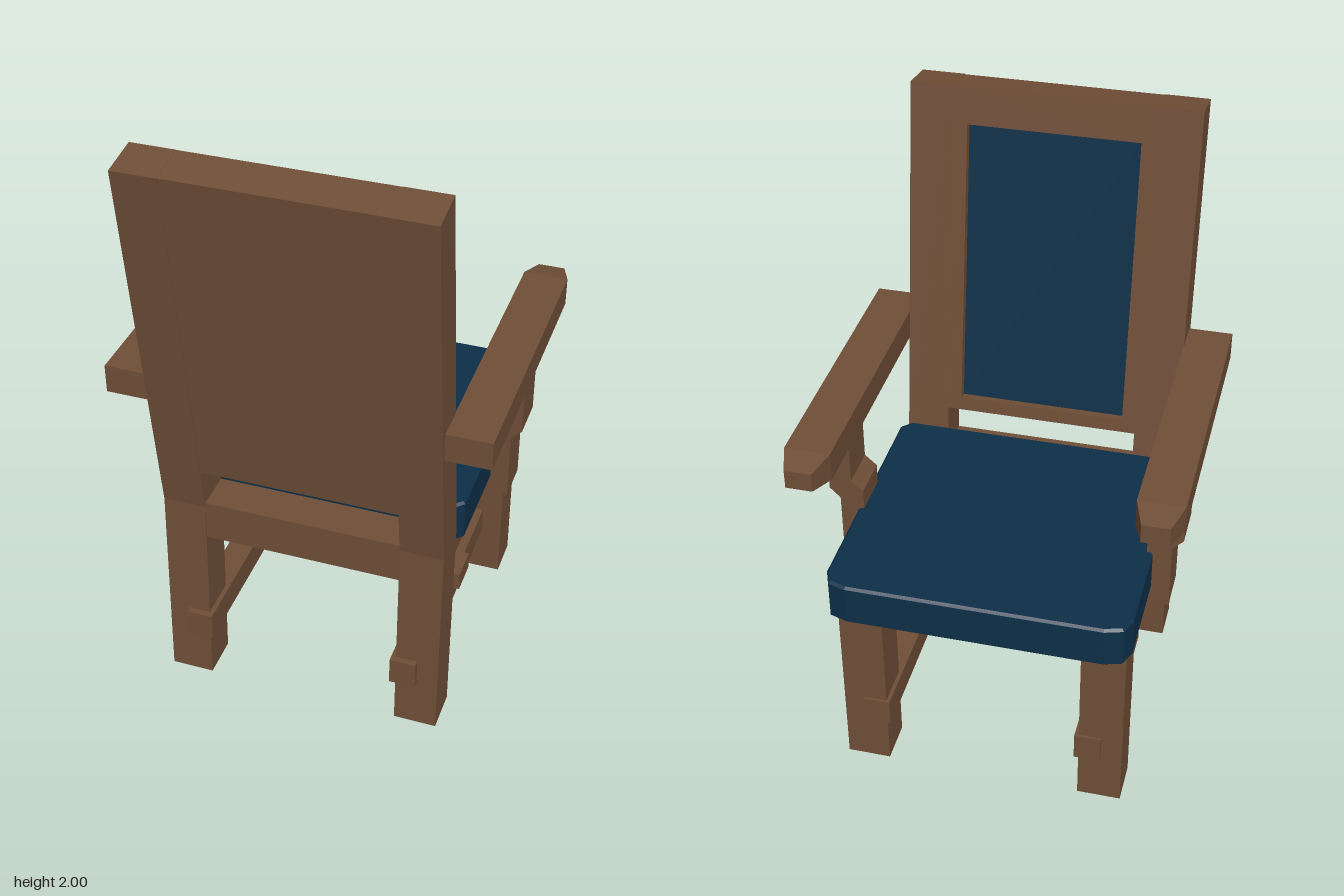
import * as THREE from 'three';

export function createModel() {
  const wood = new THREE.MeshStandardMaterial({ color: 0x6f4e37 });
  wood.name = 'brown wood';
  const fabric = new THREE.MeshStandardMaterial({ color: 0x0d2f48 });
  fabric.name = 'navy fabric';

  const chair = new THREE.Group();
  chair.name = 'armchair';

  const add = (name, geometry, material = wood, parent = chair) => {
    const mesh = new THREE.Mesh(geometry, material);
    mesh.name = name;
    parent.add(mesh);
    return mesh;
  };
  // Box given by its extents on each axis
  const box = (name, [x0, x1], [y0, y1], [z0, z1], material = wood, parent = chair) => {
    const mesh = add(name, new THREE.BoxGeometry(x1 - x0, y1 - y0, z1 - z0), material, parent);
    mesh.position.set((x0 + x1) / 2, (y0 + y1) / 2, (z0 + z1) / 2);
    return mesh;
  };
  const polygon = (points) => new THREE.Shape(points.map(([x, y]) => new THREE.Vector2(x, y)));
  const extrude = (shape, depth) => new THREE.ExtrudeGeometry(shape, { depth, bevelEnabled: false });
  const span = (side, a, b) => (side > 0 ? [a, b] : [-b, -a]);

  // Armrest: box whose forward end tapers on all four sides
  const armrestGeometry = () => {
    const geometry = new THREE.BoxGeometry(0.145, 0.095, 1, 1, 1, 2);
    const p = geometry.attributes.position;
    for (let i = 0; i < p.count; i++) {
      const z = p.getZ(i);
      if (z < -0.4) {
        p.setXYZ(i, p.getX(i) * 0.59, p.getY(i) * 0.66, -0.57);
      } else {
        p.setZ(i, z > 0.4 ? 0.467 : -0.48);
      }
    }
    const flat = geometry.toNonIndexed();
    flat.computeVertexNormals();
    return flat;
  };

  for (const side of [1, -1]) {
    const label = side > 0 ? 'left' : 'right';

    // Bent post: rear leg and back upright in one piece
    const post = add(label + 'BackPost', extrude(polygon([
      [-0.44, 0], [-0.3, 0], [-0.28, 0.72], [-0.468, 2], [-0.605, 1.98], [-0.42, 0.705],
    ]), 0.142));
    post.rotation.y = Math.PI / 2;
    post.position.x = side > 0 ? 0.325 : -0.467;

    box(label + 'FrontLeg', span(side, 0.323, 0.466), [0, 0.665], [-0.52, -0.38]);
    box(label + 'SeatRail', span(side, 0.35, 0.455), [0.58, 0.665], [-0.4, 0.31]);
    box(label + 'Stretcher', span(side, 0.31, 0.397), [0.17, 0.265], [-0.53, 0.455]);

    // Jogged arm support
    const support = add(label + 'ArmSupport', extrude(polygon([
      [0.466, 0.605], [0.545, 0.605], [0.545, 0.84], [0.58, 0.875],
      [0.58, 1.13], [0.505, 1.13], [0.505, 0.915], [0.466, 0.88],
    ].map(([x, y]) => [x * side, y])), 0.145));
    support.position.z = -0.217;

    add(label + 'Armrest', armrestGeometry()).position.set(side * 0.538, 1.172, 0);
  }

  box('frontSeatRail', [-0.33, 0.33], [0.58, 0.665], [-0.505, -0.4]);
  box('rearSeatRail', [-0.326, 0.326], [0.58, 0.72], [0.284, 0.418]);
  box('crossStretcher', [-0.42, 0.42], [0.227, 0.29], [-0.105, 0.015]);

  // Seat cushion with cut corners and a slim edge bevel
  const b = 0.008;
  const half = [[0.45, -0.277], [0.477, -0.25], [0.477, 0.535], [0.458, 0.582], [0.405, 0.598]];
  const outline = [...half, ...half.map(([x, y]) => [-x, y]).reverse()];
  const cushion = add('seatCushion', new THREE.ExtrudeGeometry(polygon(outline), {
    depth: 0.145 - 2 * b, bevelThickness: b, bevelSize: b, bevelSegments: 1,
  }), fabric);
  cushion.rotation.x = -Math.PI / 2;
  cushion.position.y = 0.665 + b;

  // Leaning back: wooden frame, backing board and recessed upholstery
  const back = new THREE.Group();
  back.name = 'backrest';
  back.position.set(0, 0.72, 0.28);
  back.rotation.x = Math.atan(0.147);
  chair.add(back);
  const frame = polygon([[-0.326, 0.16], [0.326, 0.16], [0.326, 1.293], [-0.326, 1.293]]);
  frame.holes.push(polygon([[-0.28, 0.205], [-0.28, 1.173], [0.28, 1.173], [0.28, 0.205]]));
  add('backFrame', extrude(frame, 0.136), wood, back);
  box('backBoard', [-0.28, 0.28], [0.205, 1.173], [0.04, 0.136], wood, back);
  box('backUpholstery', [-0.28, 0.28], [0.205, 1.173], [0.031, 0.04], fabric, back);

  return chair;
}
